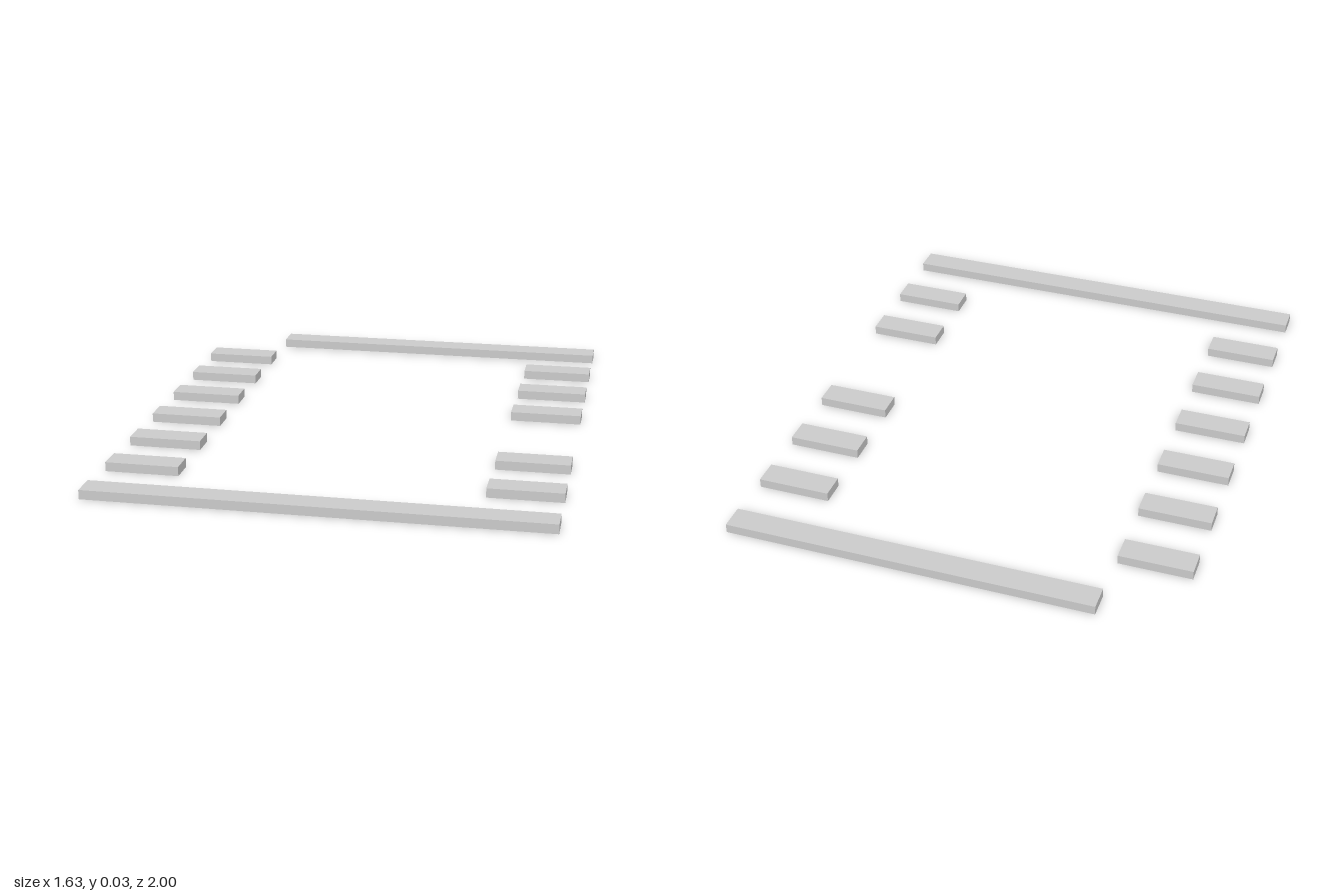
import * as THREE from 'three';

const HEIGHT = 0.034, DEPTH = 0.094, HALF = 0.815, INNER = 0.546;
const ROWS = 8, FIRST = 0.953, STEP = (2 * FIRST) / (ROWS - 1);

export function createModel() {
  const model = new THREE.Group();
  model.name = 'slatFrame';
  const material = new THREE.MeshStandardMaterial({ color: 0xcccccc, flatShading: true });

  // One flat slat from x0 to x1 in the given row, counted from the front
  function addSlat(name, x0, x1, row) {
    const slat = new THREE.Mesh(new THREE.BoxGeometry(x1 - x0, HEIGHT, DEPTH), material);
    slat.position.set((x0 + x1) / 2, HEIGHT / 2, FIRST - row * STEP);
    slat.name = name;
    model.add(slat);
  }

  // Long end slats; the back one stops short on the right
  addSlat('frontSlat', -HALF, HALF, 0);
  addSlat('backSlat', -INNER, HALF, ROWS - 1);

  // Short slats down both sides, with a gap in the left row
  for (let row = 1; row < ROWS - 1; row++) {
    addSlat('rightShortSlat' + row, -HALF, -INNER, row);
    if (row !== 3) addSlat('leftShortSlat' + row, INNER, HALF, row);
  }
  return model;
}
